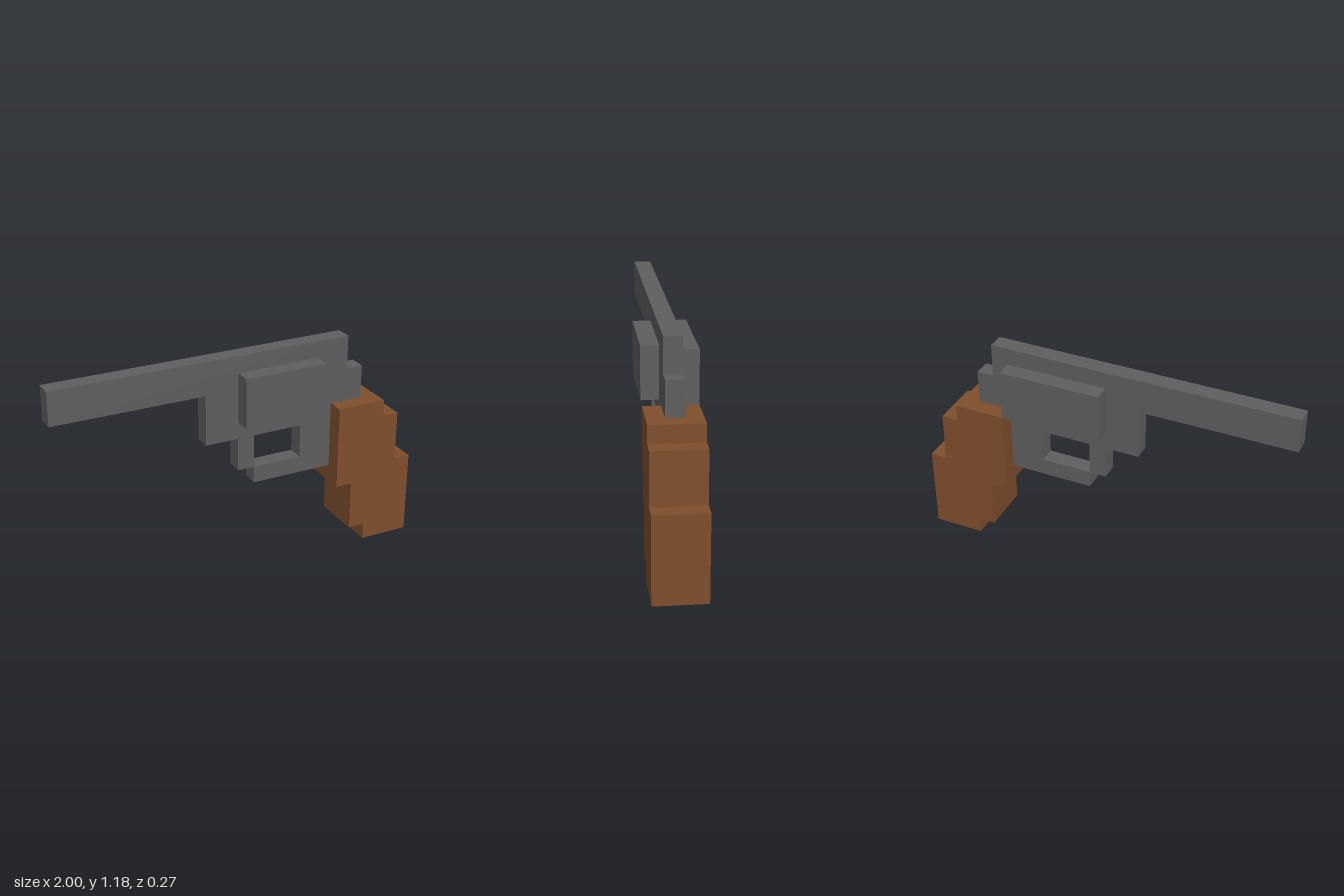
import * as THREE from 'three';

// All coordinates are in grid cells; the model is 22 cells long.
const CELL = 1 / 11;

const metal = new THREE.MeshStandardMaterial({ color: 0x5e5e5e });
metal.name = 'gunmetal grey';
const wood = new THREE.MeshStandardMaterial({ color: 0x7f4e2c });
wood.name = 'grip brown';

// Stepped outline in x, y extruded from z0 to z1
function slab(name, outline, z0, z1, material) {
  const shape = new THREE.Shape(outline.map(([x, y]) => new THREE.Vector2(x * CELL, y * CELL)));
  const geometry = new THREE.ExtrudeGeometry(shape, { depth: (z1 - z0) * CELL, bevelEnabled: false });
  geometry.translate(0, 0, z0 * CELL);
  const mesh = new THREE.Mesh(geometry, material);
  mesh.name = name;
  return mesh;
}

const rect = (x0, y0, x1, y1) => [[x0, y0], [x1, y0], [x1, y1], [x0, y1]];

export function createModel() {
  const model = new THREE.Group();
  model.name = 'revolver';

  // Barrel, frame and trigger guard share one flat profile
  model.add(slab('barrelAndFrame', [
    [-11, 11], [-2, 11], [-2, 8], [4, 8], [4, 6], [1, 6], [1, 5], [6, 5],
    [6, 9], [8, 9], [8, 11], [7, 11], [7, 13], [-11, 13],
  ], -0.5, 0.5, metal));

  // Front stub closing the guard opening
  model.add(slab('guardFront', rect(0, 6, 1, 8), -0.5, 0.5, metal));

  // Cylinder blocks on each side; the rear one is a cell longer
  model.add(slab('cylinderFront', rect(0, 9, 5, 12), 0.5, 1.5, metal));
  model.add(slab('cylinderBack', rect(0, 9, 6, 12), -1.5, -0.5, metal));

  // Stepped grip
  model.add(slab('grip', [
    [6, 4], [7, 4], [7, 1], [8, 1], [8, 0], [11, 0],
    [11, 5], [10, 5], [10, 8], [9, 8], [9, 9], [6, 9],
  ], -1.5, 1.5, wood));

  return model;
}
